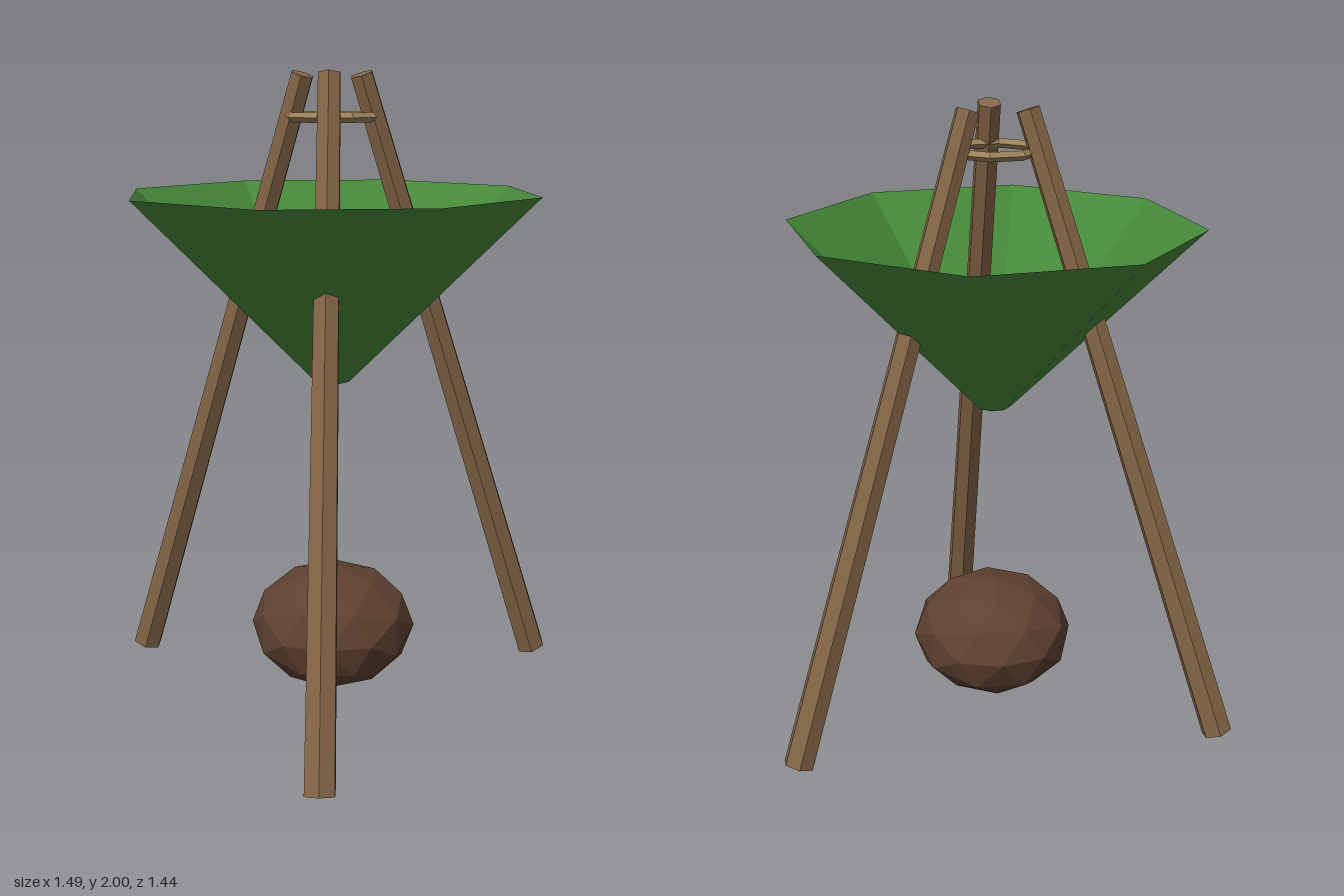
import * as THREE from 'three';

const flat = (name, color, extra = {}) =>
  new THREE.MeshStandardMaterial({ name, color, flatShading: true, ...extra });

export function createModel() {
  const wood = flat('poleWood', 0x846546);
  const leaf = flat('greenCanopy', 0x46893a, { side: THREE.DoubleSide });
  const rope = flat('paleRope', 0x9a8058);
  const earth = flat('darkBrown', 0x5e4130);

  const model = new THREE.Group();
  model.name = 'tripodPlanter';
  // everything shares one vertical axis, slightly left of the middle
  const axis = new THREE.Group();
  axis.name = 'tripodAxis';
  axis.position.x = -0.09;
  model.add(axis);

  const add = (name, geometry, material, y, parent = axis) => {
    const mesh = new THREE.Mesh(geometry, material);
    mesh.name = name;
    mesh.position.y = y;
    parent.add(mesh);
    return mesh;
  };

  // three tapered hexagonal poles leaning inwards
  const foot = new THREE.Vector2(0.783, 0.0165);
  const tip = new THREE.Vector2(0.105, 1.988);
  const poleGeometry = new THREE.CylinderGeometry(0.038, 0.05, foot.distanceTo(tip), 6);
  poleGeometry.rotateY(Math.PI / 6);
  poleGeometry.rotateZ(Math.atan2(foot.x - tip.x, tip.y - foot.y));
  for (let i = 0; i < 3; i++) {
    const turn = new THREE.Group();
    turn.name = 'poleMount' + (i + 1);
    turn.rotation.y = (i * Math.PI * 2) / 3;
    axis.add(turn);
    const pole = add('pole' + (i + 1), poleGeometry, wood, (foot.y + tip.y) / 2, turn);
    pole.position.x = (foot.x + tip.x) / 2;
  }

  // open eight-sided funnel
  add('canopy', new THREE.CylinderGeometry(0.655, 0.055, 0.59, 8, 1, true), leaf, 1.335);

  // binding ring around the pole tops
  const ring = new THREE.TorusGeometry(0.132, 0.015, 4, 8);
  ring.rotateX(Math.PI / 2);
  add('bindingRing', ring, rope, 1.86);

  // squashed faceted ball between the feet
  const ball = new THREE.IcosahedronGeometry(1, 1);
  ball.rotateY(1.017);
  ball.scale(0.263, 0.1975, 0.263);
  add('groundBall', ball, earth, 0.2375);

  return model;
}
